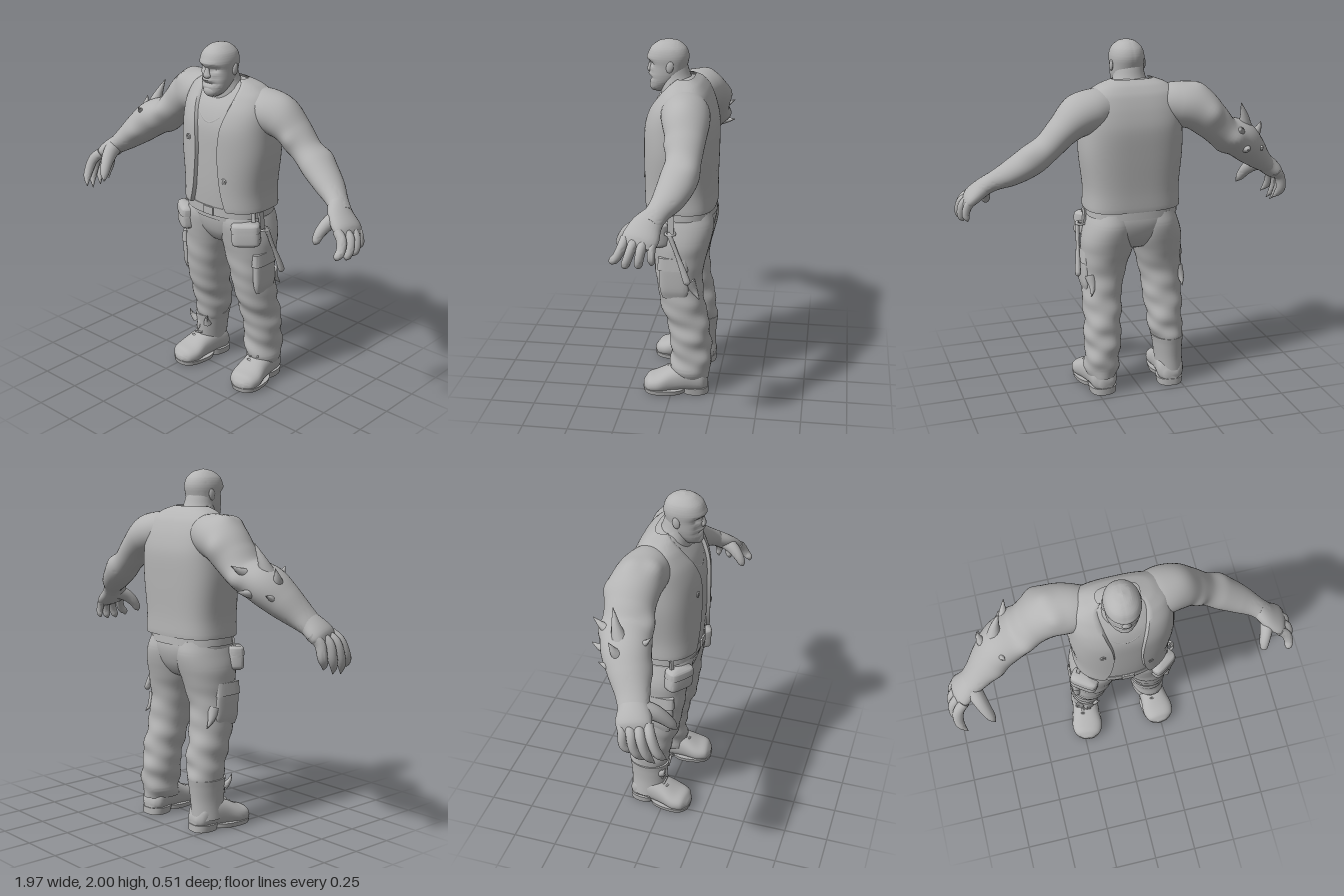
import * as THREE from 'three';
import { toCreasedNormals } from 'three/addons/utils/BufferGeometryUtils.js';

const V = (x, y, z) => new THREE.Vector3(x, y, z);
const clay = new THREE.MeshStandardMaterial({ color: 0xb4b4b4 });
clay.name = 'clay grey';
clay.side = THREE.DoubleSide;

// Smooth skin over oval sections [x, y, z, sideRadius, depthRadius, frontGap].
// axis fixes the direction of all rings, p and q square off front and back, warp shifts points.
function loft(sections, { ref = V(0, 0, 1), axis = null, n = 28, per = 5, p = 1, q = p, gap = false, warp = null } = {}) {
  const path = new THREE.CatmullRomCurve3(sections.map(s => V(s[0], s[1], s[2])));
  const radii = new THREE.CatmullRomCurve3(sections.map(s => V(s[3], s[4], s[5] || 0)), false, 'catmullrom', 0.5);
  const rows = (sections.length - 1) * per, pos = [], idx = [], w = n + 1;
  const pw = (c, e) => Math.sign(c) * Math.abs(c) ** e;
  for (let i = 0; i <= rows; i++) {
    const c = path.getPoint(i / rows), r = radii.getPoint(i / rows);
    const T = axis || path.getTangent(i / rows);
    const B = ref.clone().addScaledVector(T, -ref.dot(T)).normalize();
    const A = B.clone().cross(T).normalize();
    const ra = Math.max(r.x, 0.002), rb = Math.max(r.y, 0.002);
    const g = gap ? Math.asin(Math.min(Math.max(r.z, 0) / ra, 0.98) ** (1 / p)) : 0;
    for (let j = 0; j <= n; j++) {
      const rim = gap && (j === 0 || j === n);
      const u = gap ? THREE.MathUtils.clamp((j - 1) / (n - 2), 0, 1) : (j % n) / n;
      const a = Math.PI / 2 + g + u * (2 * Math.PI - 2 * g), k = rim ? 0.9 : 1;
      const e = Math.sin(a) < 0 ? q : p;
      const out = A.clone().multiplyScalar(ra * pw(Math.cos(a), e) * k).addScaledVector(B, rb * pw(Math.sin(a), e) * k);
      const v = c.clone().add(out);
      if (warp) warp(v, out.normalize(), a);
      pos.push(v.x, v.y, v.z);
    }
  }
  for (let i = 0; i < rows; i++) for (let j = 0; j < n; j++) {
    const a = i * w + j, b = a + w;
    idx.push(a, a + 1, b + 1, a, b + 1, b);
  }
  if (!gap) for (const [end, flip] of [[0, true], [rows, false]]) {
    const c = path.getPoint(end / rows), m = pos.length / 3;
    pos.push(c.x, c.y, c.z);
    for (let j = 0; j < n; j++) {
      const a = end * w + j;
      flip ? idx.push(m, a + 1, a) : idx.push(m, a, a + 1);
    }
  }
  const geo = new THREE.BufferGeometry();
  geo.setAttribute('position', new THREE.Float32BufferAttribute(pos, 3));
  geo.setIndex(idx);
  return toCreasedNormals(geo, 0.9);
}

// Uneven cloth folds, growing towards the ankles
const folds = (v, out, a) => v.addScaledVector(out, THREE.MathUtils.clamp(0.95 - v.y, 0, 0.6) * 0.007
  * (Math.sin(v.y * 34 + 3 * Math.sin(a + 1)) + Math.sin(v.y * 57 - 2 * a)));

// Muscle and growth bumps [x, y, z, spread, height]
const bumps = list => (v, out) => {
  for (const [x, y, z, s, h] of list) v.addScaledVector(out, h * Math.exp(-V(x, y, z).distanceToSquared(v) / (s * s)));
};

// Eye sockets, mouth line and cheeks pressed into the face
function face(v) {
  if (v.z < 0.07) return;
  const push = (x, y, sx, sy, d) => { v.z += d * Math.exp(-(((v.x - x) / sx) ** 2) - ((v.y - y) / sy) ** 2); };
  for (const s of [-1, 1]) {
    push(0.005 + s * 0.042, 1.868, 0.026, 0.016, -0.022);
    push(0.005 + s * 0.05, 1.82, 0.02, 0.025, -0.008);
  }
  push(0.005, 1.79, 0.05, 0.009, -0.014);
  push(0.005, 1.9, 0.07, 0.014, 0.008);
  push(0.005, 1.81, 0.05, 0.009, 0.008);
}

export function createModel() {
  const model = new THREE.Group();
  const add = (name, geo, parent = model) => {
    const m = new THREE.Mesh(geo, clay);
    m.name = name;
    parent.add(m);
    return m;
  };
  const upright = (name, s, o = {}, parent) =>
    add(name, loft(s, { axis: V(0, Math.sign(s[s.length - 1][1] - s[0][1]), 0), ...o }), parent);
  const blob = (name, x, y, z, a, b, c) => {
    const m = add(name, new THREE.SphereGeometry(1, 24, 16));
    m.position.set(x, y, z);
    m.scale.set(a, b, c);
    return m;
  };
  const spike = (name, a, b, r) => {
    const m = V(...a).lerp(V(...b), 0.5).add(V(-0.008, -0.006, 0));
    add(name, loft([[...a, r, r], [m.x, m.y, m.z, r * 0.55, r * 0.55], [...b, 0.002, 0.002]],
      { ref: V(0.3, 0.1, 1).normalize(), n: 12 }));
  };

  // Head
  upright('head', [[0.008, 1.715, 0.095, 0.025, 0.025], [0.008, 1.735, 0.09, 0.055, 0.053], [0.008, 1.77, 0.07, 0.077, 0.078],
    [0.008, 1.81, 0.056, 0.088, 0.095], [0.008, 1.86, 0.048, 0.092, 0.104], [0.008, 1.91, 0.048, 0.095, 0.112],
    [0.008, 1.955, 0.047, 0.081, 0.096], [0.008, 1.988, 0.045, 0.045, 0.055], [0.008, 2, 0.045, 0.003, 0.003]],
  { n: 48, per: 8, p: 0.92, warp: face });
  add('nose', loft([[0.008, 1.885, 0.14, 0.012, 0.01], [0.008, 1.855, 0.147, 0.016, 0.013],
    [0.008, 1.832, 0.15, 0.026, 0.014], [0.008, 1.822, 0.143, 0.014, 0.008]], { n: 16 }));
  blob('goatee', 0.008, 1.748, 0.12, 0.044, 0.034, 0.032);
  for (const s of [-1, 1]) blob('ear', 0.008 + s * 0.093, 1.862, 0.028, 0.01, 0.032, 0.02).rotation.x = -0.2;
  upright('neck', [[0.005, 1.64, -0.03, 0.15, 0.12], [0.005, 1.74, -0.01, 0.115, 0.1], [0.005, 1.8, 0.01, 0.09, 0.085], [0.005, 1.86, 0.02, 0.08, 0.075]]);

  // Shirt and open vest
  upright('shirt', [[0.01, 1.02, -0.03, 0.235, 0.175], [0.015, 1.2, -0.027, 0.247, 0.183], [0.015, 1.4, -0.027, 0.267, 0.185],
    [0.015, 1.55, -0.03, 0.265, 0.182], [0.01, 1.65, -0.035, 0.255, 0.155], [0.01, 1.73, -0.045, 0.22, 0.112],
    [0.005, 1.775, -0.045, 0.15, 0.078], [0.005, 1.8, -0.03, 0.05, 0.04]], { n: 48, p: 0.85, q: 0.68 });
  upright('vest', [[0.015, 1.095, -0.027, 0.25, 0.18, 0.135], [0.015, 1.087, -0.027, 0.27, 0.2, 0.135],
    [0.015, 1.2, -0.025, 0.267, 0.201, 0.1], [0.017, 1.4, -0.027, 0.287, 0.204, 0.08], [0.017, 1.55, -0.03, 0.285, 0.2, 0.09],
    [0.015, 1.65, -0.035, 0.278, 0.172, 0.115], [0.012, 1.73, -0.045, 0.25, 0.128, 0.135],
    [0.008, 1.775, -0.045, 0.185, 0.09, 0.135], [0.005, 1.8, -0.04, 0.115, 0.055, 0.105]], { n: 60, p: 0.85, q: 0.65, gap: true });
  add('shirtNeckline', new THREE.TubeGeometry(new THREE.CatmullRomCurve3([V(-0.11, 1.71, 0.055), V(-0.07, 1.62, 0.12),
    V(0.01, 1.575, 0.14), V(0.09, 1.62, 0.12), V(0.135, 1.71, 0.055)]), 24, 0.008, 8));
  for (const [x, y] of [[-0.12, 1.47], [0.14, 1.27]]) {
    const hole = add('vestButtonhole', new THREE.TorusGeometry(0.012, 0.005, 8, 16));
    hole.position.set(x, y, 0.162);
  }

  // Arms
  add('leftArm', loft([[0.12, 1.65, -0.07, 0.1, 0.1], [0.23, 1.645, -0.075, 0.115, 0.13], [0.33, 1.613, -0.09, 0.11, 0.125],
    [0.415, 1.55, -0.1, 0.087, 0.105], [0.5, 1.465, -0.1, 0.077, 0.093], [0.585, 1.4, -0.09, 0.082, 0.1],
    [0.69, 1.33, -0.055, 0.07, 0.086], [0.775, 1.28, -0.01, 0.052, 0.063], [0.83, 1.24, 0.025, 0.045, 0.065]],
  { n: 36, per: 7, warp: bumps([[0.36, 1.71, -0.08, 0.07, 0.01], [0.4, 1.47, -0.06, 0.05, 0.012], [0.45, 1.53, 0, 0.04, 0.012],
    [0.61, 1.46, -0.15, 0.05, 0.01]]) }));
  add('rightArm', loft([[-0.12, 1.65, -0.07, 0.1, 0.1], [-0.24, 1.65, -0.085, 0.122, 0.132], [-0.34, 1.625, -0.105, 0.125, 0.138],
    [-0.43, 1.55, -0.11, 0.108, 0.133], [-0.51, 1.475, -0.1, 0.095, 0.13], [-0.62, 1.42, -0.07, 0.106, 0.133],
    [-0.7, 1.35, -0.03, 0.094, 0.115], [-0.78, 1.275, 0.015, 0.07, 0.092], [-0.84, 1.225, 0.04, 0.052, 0.08]],
  { n: 40, per: 8, warp: bumps([[-0.33, 1.73, -0.01, 0.05, 0.02], [-0.36, 1.75, -0.12, 0.05, 0.014], [-0.41, 1.61, -0.24, 0.055, 0.02],
    [-0.55, 1.45, -0.23, 0.05, 0.022], [-0.5, 1.51, 0.03, 0.05, 0.018], [-0.5, 1.37, -0.1, 0.05, 0.014], [-0.67, 1.34, 0.08, 0.05, 0.012]]) }));
  for (const [a, b, r] of [
    [[-0.65, 1.48, -0.09], [-0.602, 1.64, -0.14], 0.045], [[-0.7, 1.42, -0.07], [-0.735, 1.52, -0.12], 0.042],
    [[-0.63, 1.46, 0], [-0.62, 1.51, 0.065], 0.03], [[-0.58, 1.47, -0.14], [-0.56, 1.53, -0.265], 0.042],
    [[-0.62, 1.39, -0.14], [-0.6, 1.4, -0.262], 0.04], [[-0.71, 1.36, -0.08], [-0.73, 1.385, -0.18], 0.038],
  ]) spike('armSpike', a, b, r);

  // Hands: the right one is larger and clawed
  for (const s of [1, -1]) {
    const claw = s < 0, k = claw ? 1.2 : 1, side = claw ? 'right' : 'left';
    const L = (name, pts, o) => add(name, loft(pts.map(([x, ...r]) => [s * x, ...r]), { n: 16, ...o }));
    L(side + 'Palm', [[0.79, 1.275, 0, 0.045, 0.058], [0.845, 1.225, 0.04, 0.045 * k, 0.083], [0.9, 1.178, 0.06, 0.04 * k, 0.094],
      [0.93, 1.15, 0.07, 0.02, 0.07]], { n: 24 });
    for (let i = 0; i < 4; i++) {
      const z = 0.132 - i * 0.049, c = Math.abs(i - 1.4) * 0.014, f = (1.5 - i) * 0.008, r = i === 3 ? 0.021 : 0.025;
      L(side + 'Finger', claw
        ? [[0.89, 1.185, z, 0.03, 0.027], [0.95 - c, 1.145, z + 0.025, 0.031, 0.027], [0.965 - c, 1.07, z + 0.045 + f, 0.028, 0.025],
          [0.957 - c, 1.015 + c, z + 0.065 + f, 0.022, 0.02], [0.93 - c, 0.955 + c * 2, z + 0.09 + f, 0.002, 0.002]]
        : [[0.89, 1.185, z, r, r], [0.945 - c, 1.15, z + 0.012, r + 0.003, r], [0.962 - c, 1.1, z + 0.025 + f, r, r - 0.002],
          [0.957 - c, 1.055 + c, z + 0.035 + f * 2, r - 0.005, r - 0.005], [0.952 - c, 1.037 + c, z + 0.038 + f * 2, 0.003, 0.003]]);
    }
    L(side + 'Thumb', claw
      ? [[0.84, 1.235, 0.05, 0.05, 0.05], [0.81, 1.2, 0.13, 0.044, 0.042], [0.785, 1.15, 0.185, 0.034, 0.034],
        [0.765, 1.1, 0.22, 0.024, 0.024], [0.75, 1.065, 0.24, 0.002, 0.002]]
      : [[0.84, 1.235, 0.04, 0.045, 0.045], [0.815, 1.2, 0.115, 0.038, 0.035], [0.798, 1.155, 0.16, 0.029, 0.028],
        [0.793, 1.115, 0.182, 0.02, 0.02], [0.792, 1.1, 0.19, 0.003, 0.003]], { ref: V(1, 0, 0) });
  }

  // Trousers
  upright('hips', [[0.01, 1.12, -0.035, 0.235, 0.17], [0.01, 1.02, -0.042, 0.25, 0.181], [0.012, 0.93, -0.042, 0.2, 0.16],
    [0.012, 0.865, -0.042, 0.11, 0.115], [0.01, 0.84, -0.04, 0.05, 0.06]], { n: 40, p: 0.85 });
  upright('leftLeg', [[0.125, 1.07, -0.042, 0.12, 0.165], [0.138, 1, -0.044, 0.135, 0.178], [0.148, 0.92, -0.044, 0.148, 0.168],
    [0.157, 0.84, -0.04, 0.146, 0.15], [0.177, 0.7, -0.035, 0.122, 0.13], [0.192, 0.55, -0.055, 0.11, 0.125], [0.2, 0.4, -0.093, 0.104, 0.117],
    [0.205, 0.28, -0.105, 0.102, 0.115], [0.212, 0.16, -0.107, 0.095, 0.115], [0.215, 0.1, -0.1, 0.085, 0.105]], { n: 36, per: 9, p: 0.93, warp: folds });
  upright('rightLeg', [[-0.105, 1.07, -0.042, 0.12, 0.165], [-0.115, 1, -0.044, 0.135, 0.178], [-0.126, 0.92, -0.044, 0.148, 0.168],
    [-0.138, 0.84, -0.04, 0.14, 0.15], [-0.16, 0.7, -0.035, 0.12, 0.13], [-0.17, 0.55, -0.055, 0.11, 0.125], [-0.175, 0.4, -0.09, 0.1, 0.115],
    [-0.183, 0.3, -0.1, 0.09, 0.11], [-0.188, 0.22, -0.1, 0.07, 0.09]], { n: 36, per: 9, p: 0.93, warp: folds });

  // Boots: the right shaft shows above tucked, torn cloth
  upright('rightBootShaft', [[-0.205, 0.07, -0.105, 0.08, 0.1], [-0.195, 0.17, -0.1, 0.08, 0.105], [-0.19, 0.26, -0.1, 0.088, 0.113],
    [-0.188, 0.295, -0.1, 0.094, 0.118]]);
  for (const x of [-0.24, -0.2, -0.15]) spike('tornCuff', [x, 0.24, -0.01], [x + (x + 0.195) * 0.6, x === -0.2 ? 0.19 : 0.31, 0.02], 0.024);
  for (const s of [1, -1]) {
    const boot = new THREE.Group();
    boot.name = s > 0 ? 'leftBoot' : 'rightBoot';
    boot.position.set(s > 0 ? 0.23 : -0.208, 0, -0.02);
    boot.rotation.y = s * 0.13;
    model.add(boot);
    add('bootUpper', loft([[0, 0.06, -0.185, 0.04, 0.03], [0, 0.085, -0.15, 0.075, 0.07], [0, 0.1, -0.07, 0.08, 0.085],
      [0, 0.085, 0.02, 0.083, 0.074], [0, 0.063, 0.1, 0.094, 0.055], [0, 0.055, 0.155, 0.076, 0.043], [0, 0.045, 0.182, 0.03, 0.018]],
    { ref: V(0, 1, 0), axis: V(0, 0, 1), p: 0.85 }), boot);
    const flat = { per: 1, p: 0.8, n: 32 };
    upright('frontSole', [[0, 0.006, 0.06, 0.088, 0.12], [0, 0.032, 0.06, 0.094, 0.126]], flat, boot);
    upright('heel', [[0, 0, -0.115, 0.072, 0.075], [0, 0.04, -0.11, 0.078, 0.08]], flat, boot);
    for (let i = 0; i < (s > 0 ? 2 : 5); i++) {
      const lace = add('lace', new THREE.CapsuleGeometry(0.006, 0.055, 4, 8), boot);
      lace.position.set(0, 0.14 + i * 0.026, 0.045 - i * 0.02 + (i > 1 ? 0.012 : 0));
      lace.rotation.z = Math.PI / 2 + (i % 2 ? 0.25 : -0.25);
    }
  }

  // Belt, pouches and cargo pockets
  upright('belt', [[0.01, 1.045, -0.037, 0.26, 0.19], [0.01, 1.095, -0.035, 0.256, 0.188]], { n: 40, per: 1, p: 0.85 });
  const box = (name, size, at, rot, parent) => {
    const m = add(name, new THREE.BoxGeometry(...size), parent);
    m.position.set(...at);
    m.rotation.set(...rot);
    return m;
  };
  box('buckle', [0.07, 0.045, 0.02], [0.02, 1.07, 0.15], [0, 0, 0]);
  for (const s of [1, -1]) {
    const pouch = new THREE.Group();
    pouch.name = 'pouch';
    pouch.position.set(0.01 + s * 0.225, 0.965, 0.085);
    pouch.rotation.set(0, s * 0.6, s * 0.06);
    model.add(pouch);
    upright('pouchBag', [[0, -0.068, 0, 0.06, 0.03], [0, -0.055, 0, 0.078, 0.045], [0, 0, 0, 0.078, 0.046], [0, 0.05, 0, 0.072, 0.04]], { p: 0.5 }, pouch);
    upright('pouchFlap', [[0, 0.015, 0.002, 0.081, 0.049], [0, 0.055, 0.001, 0.078, 0.045], [0, 0.066, 0, 0.065, 0.035]], { p: 0.5 }, pouch);
    for (const x of [-0.045, 0.045]) box('pouchStrap', [0.02, 0.07, 0.012], [x, 0.085, -0.012], [-0.15, 0, 0], pouch);
    const px = s > 0 ? 0.282 : -0.26;
    upright('cargoPocket', [[px, 0.6, -0.02, 0.012, 0.065], [px, 0.65, -0.02, 0.024, 0.08], [px, 0.76, -0.015, 0.024, 0.08], [px, 0.8, -0.012, 0.02, 0.075]], { p: 0.6 });
    upright('pocketFlap', [[px, 0.77, -0.013, 0.03, 0.086], [px, 0.84, -0.01, 0.02, 0.08]], { p: 0.6, per: 1 });
    spike('tornCloth', [px - s * 0.015, 0.7, -0.1], [px, 0.6, -0.16], 0.035);
  }

  // Baton hanging from a belt loop
  add('baton', loft([[0.312, 1, 0.01, 0.004, 0.006], [0.315, 0.985, 0.002, 0.012, 0.014], [0.325, 0.88, -0.04, 0.01, 0.012],
    [0.335, 0.79, -0.075, 0.014, 0.017], [0.342, 0.72, -0.1, 0.015, 0.019], [0.343, 0.708, -0.105, 0.004, 0.004]], { n: 16 }));
  const ring = add('batonLoop', new THREE.TorusGeometry(0.026, 0.007, 8, 20));
  ring.position.set(0.295, 0.985, 0);
  ring.rotation.x = Math.PI / 2;
  box('loopStrap', [0.012, 0.1, 0.035], [0.273, 1.03, 0], [0, 0, 0.1]);

  return model;
}
